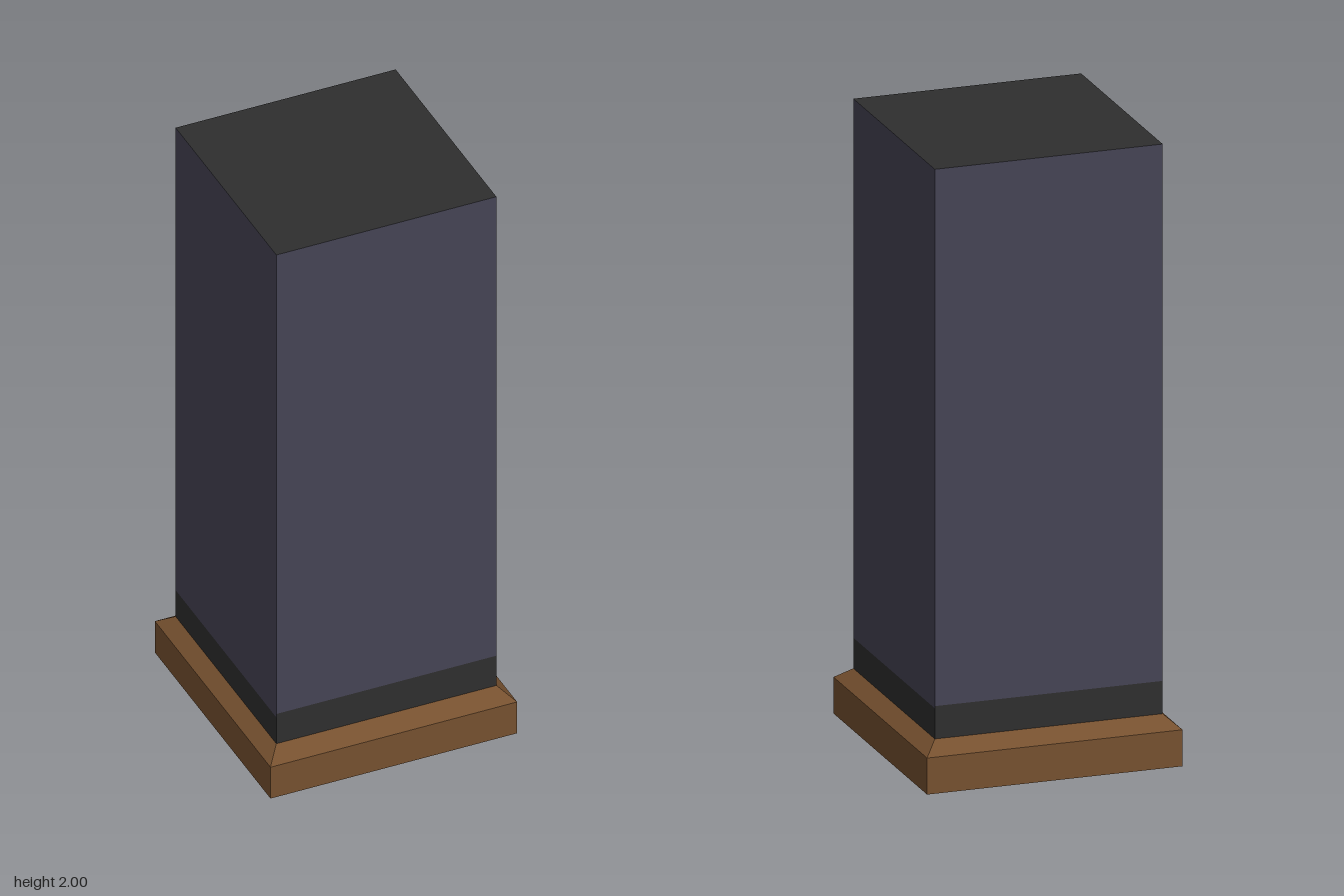
import * as THREE from 'three';

const H = 0.372;                    // half width of the shaft
const BASE = 0.158, TOP = 2;        // bottom and top of the shaft

const material = (name, color) => {
  const m = new THREE.MeshStandardMaterial({ color, side: THREE.DoubleSide });
  m.name = name;
  return m;
};

// Quad from four corners, counter-clockwise seen from outside
function quad(name, mat, a, b, c, d) {
  const g = new THREE.BufferGeometry();
  g.setAttribute('position', new THREE.Float32BufferAttribute([...a, ...b, ...c, ...d], 3));
  g.setIndex([0, 1, 2, 0, 2, 3]);
  g.computeVertexNormals();
  const mesh = new THREE.Mesh(g, mat);
  mesh.name = name;
  return mesh;
}

// Rectangle corners at height y: front left, front right, back right, back left
const ring = (hx, y, hz) => [[-hx, y, hz], [hx, y, hz], [hx, y, -hz], [-hx, y, -hz]];

// Four walls joining two rectangles
function walls(name, mat, lower, upper) {
  const group = new THREE.Group();
  group.name = name;
  for (let i = 0; i < 4; i++) {
    const j = (i + 1) % 4;
    group.add(quad(name + 'Side', mat, lower[i], lower[j], upper[j], upper[i]));
  }
  return group;
}

export function createModel() {
  const wood = material('brown wood', 0x75502f);
  const slate = material('slate purple', 0x454354);
  const dark = material('charcoal', 0x2e2e2e);

  const model = new THREE.Group();
  model.name = 'pillar';

  // Skirting: upright band and sloped ledge, open underneath
  const foot = ring(0.417, 0, 0.427), shoulder = ring(0.417, 0.118, 0.427);
  model.add(walls('skirting', wood, foot, shoulder));
  model.add(walls('skirtingLedge', wood, shoulder, ring(H, BASE, H)));

  // Hollow shaft: dark strip below, painted panel above on each side
  const bottom = ring(H, BASE, H), top = ring(H, TOP, H);
  [0.27, 0.257, 0.264, 0.257].forEach((y, i) => {
    const j = (i + 1) % 4, line = ring(H, y, H);
    model.add(quad('lowerStrip', dark, bottom[i], bottom[j], line[j], line[i]));
    model.add(quad('shaftPanel', slate, line[i], line[j], top[j], top[i]));
  });

  // Flat cap
  model.add(quad('cap', dark, ...top));
  return model;
}
